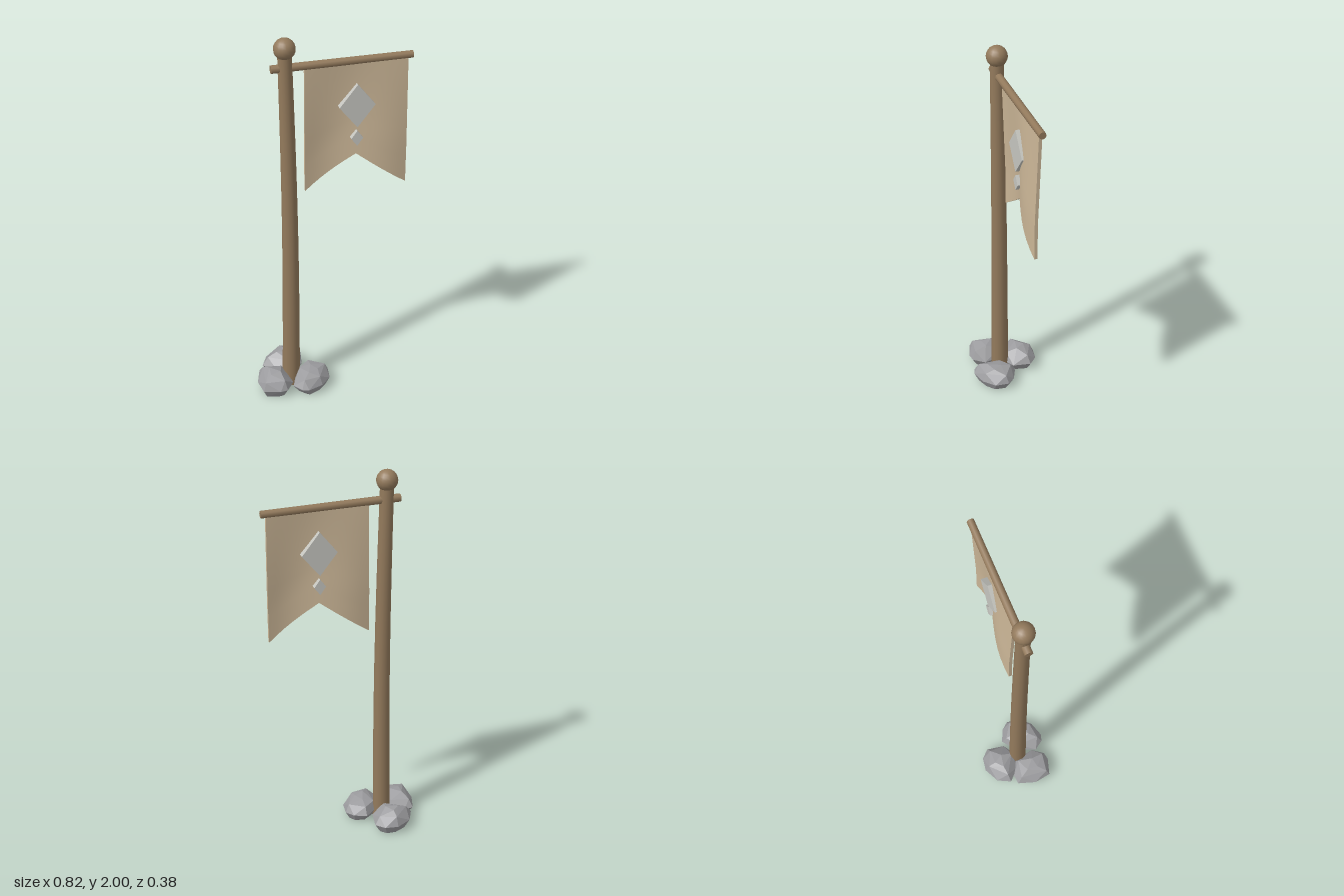
import * as THREE from 'three';
import { ConvexGeometry } from 'three/addons/geometries/ConvexGeometry.js';

const material = (name, color, extra = {}) =>
  Object.assign(new THREE.MeshStandardMaterial({ color, ...extra }), { name });

const POLE_X = -0.218, Z = 0.016;

// Move every vertex of a geometry by a rule
function deform(geometry, rule) {
  const p = geometry.attributes.position, v = new THREE.Vector3();
  for (let i = 0; i < p.count; i++) {
    rule(v.fromBufferAttribute(p, i));
    p.setXYZ(i, v.x, v.y, v.z);
  }
  return geometry;
}

// Faceted boulder: a footprint repeated as four shrinking, twisted rings
function rockGeometry(outline, height, seed) {
  let s = seed;
  const rand = () => (s = (s * 16807) % 2147483647) / 2147483647;
  const n = outline.length;
  const cx = outline.reduce((a, p) => a + p[0], 0) / n;
  const cz = outline.reduce((a, p) => a + p[1], 0) / n;
  const points = [];
  const ring = (scale, y, step, wobble) => {
    for (let i = 0; i < n; i += step) {
      const k = scale * (1 + (rand() - 0.5) * wobble);
      const py = y === 0 ? 0 : y * height + (rand() - 0.5) * wobble * 0.08;
      points.push(new THREE.Vector3(cx + (outline[i][0] - cx) * k, py, cz + (outline[i][1] - cz) * k));
    }
  };
  ring(0.72, 0, 1, 0.15);
  ring(1, 0.43, 1, 0.02);
  ring(0.78, 0.8, 2, 0.12);
  ring(0.32, 0.97, 3, 0.1);
  return new ConvexGeometry(points);
}

export function createModel() {
  const group = new THREE.Group();
  const wood = material('wood', 0x937a5c);
  const cloth = material('cloth', 0xcab596);
  const emblem = material('pale emblem', 0xc6c6c0);
  const stone = material('stone', 0x9d9da0, { flatShading: true });

  const add = (name, geometry, mat, x = 0, y = 0, z = 0) => {
    const mesh = new THREE.Mesh(geometry, mat);
    mesh.name = name;
    mesh.position.set(x, y, z);
    group.add(mesh);
    return mesh;
  };

  // Tapered pole with a slight bow
  const pole = new THREE.CylinderGeometry(0.034, 0.047, 1.93, 14, 8);
  deform(pole, v => { v.x += 0.01 * Math.cos((v.y / 1.93) * Math.PI); });
  add('pole', pole, wood, POLE_X, 0.965, Z);
  add('finial', new THREE.SphereGeometry(0.053, 16, 12), wood, POLE_X, 1.947, Z);

  // Crossbar
  const bar = add('crossbar', new THREE.CylinderGeometry(0.018, 0.02, 0.695, 10), wood, 0.0615, 1.851, Z);
  bar.rotation.z = -Math.PI / 2;

  // Swallowtail banner, rippling more towards the hem
  const banner = deform(new THREE.BoxGeometry(2, 1, 0.016, 12, 10, 1), v => {
    const u = v.x, t = 0.5 - v.y;
    const hem = 1.172 + 0.185 * (1 - Math.abs(u));
    v.x = 0.13 + u * 0.255;
    v.y = 1.85 + (hem - 1.85) * t;
    v.z += Z + 0.027 * Math.min(1, t * 1.4) * Math.sin(u * 2.5);
  });
  banner.computeVertexNormals();
  add('banner', banner, cloth);

  // Diamond emblems, showing on both sides of the banner
  for (const [name, y, w, h] of [['largeDiamond', 1.623, 0.09, 0.113], ['smallDiamond', 1.45, 0.03, 0.041]]) {
    const shape = new THREE.Shape([[0, -h], [w, 0], [0, h], [-w, 0]].map(p => new THREE.Vector2(...p)));
    const geometry = new THREE.ExtrudeGeometry(shape, { depth: 0.058, bevelEnabled: false });
    add(name, geometry, emblem, 0.13, y, Z - 0.029);
  }

  // Three boulders around the foot
  add('backRock', rockGeometry([[-0.24, -0.19], [-0.17, -0.18], [-0.127, -0.137], [-0.145, -0.04],
    [-0.21, 0], [-0.29, -0.015], [-0.355, -0.08], [-0.32, -0.15]], 0.126, 11), stone);
  add('rightRock', rockGeometry([[-0.38, -0.045], [-0.33, -0.05], [-0.25, -0.02], [-0.225, 0.1],
    [-0.27, 0.16], [-0.31, 0.165], [-0.395, 0.14], [-0.41, 0.05]], 0.122, 57), stone);
  add('leftRock', rockGeometry([[-0.115, -0.04], [-0.05, -0.01], [-0.016, 0.03], [-0.025, 0.105],
    [-0.08, 0.16], [-0.16, 0.187], [-0.195, 0.175], [-0.23, 0.125], [-0.19, 0.02]], 0.112, 91), stone);

  return group;
}
